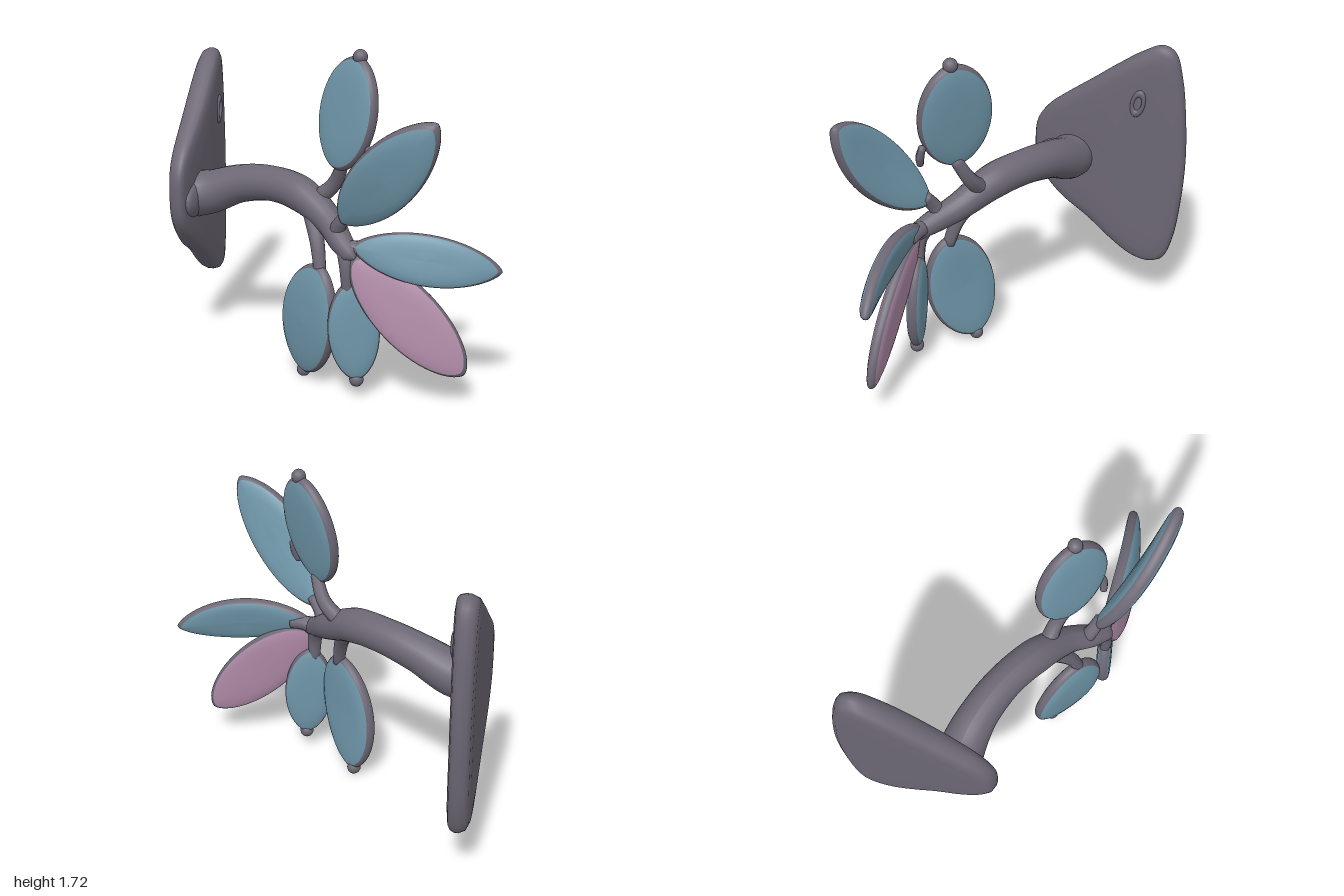
import * as THREE from 'three';

const V = (x, y, z) => new THREE.Vector3(x, y, z);

// Tube whose radius is interpolated along the path, with closed ends
function taperedTube(points, radii, segments = 40, sides = 20) {
  const curve = new THREE.CatmullRomCurve3(points.map(p => V(...p)));
  const geo = new THREE.TubeGeometry(curve, segments, 1, sides, false);
  const pos = geo.attributes.position;
  const v = V(0, 0, 0);
  for (let i = 0; i <= segments; i++) {
    const t = i / segments;
    const c = curve.getPointAt(t);
    const f = curve.getUtoTmapping(t) * (radii.length - 1);
    const k = Math.min(Math.floor(f), radii.length - 2);
    let r = THREE.MathUtils.lerp(radii[k], radii[k + 1], f - k);
    if (i === 0 || i === segments) r *= 0.05;
    for (let j = 0; j <= sides; j++) {
      const n = i * (sides + 1) + j;
      v.fromBufferAttribute(pos, n).sub(c).multiplyScalar(r).add(c);
      pos.setXYZ(n, v.x, v.y, v.z);
    }
  }
  geo.computeVertexNormals();
  return geo;
}

const lathe = (profile, segments) =>
  new THREE.LatheGeometry(profile.map(p => new THREE.Vector2(...p)), segments);

// Turned disc reshaped into a leaf: pointed ends, curved along its length
function leafPart(profile, leaf, matrix) {
  const geo = lathe(profile, 56);
  const pos = geo.attributes.position;
  for (let i = 0; i < pos.count; i++) {
    const x = pos.getX(i), z = pos.getZ(i);
    const r = Math.hypot(x, z);
    const s = r > 1e-6 ? Math.abs(z) / r : 0;
    pos.setXYZ(i,
      x * leaf.halfLength,
      pos.getY(i) * leaf.thick + leaf.bow * (1 - x * x),
      z * Math.pow(s, leaf.point) * leaf.halfWidth);
  }
  geo.computeVertexNormals();
  geo.applyMatrix4(matrix);
  return geo;
}

// Turned disc stretched to a closed outline, its front thinning toward both ends
function fanPlate(outline, profile, segments = 96) {
  const curve = new THREE.CatmullRomCurve3(outline.map(([u, y]) => V(u, y, 0)), true);
  const geo = lathe(profile, segments);
  const pos = geo.attributes.position;
  for (let i = 0; i <= segments; i++) {
    const edge = curve.getPoint((i % segments) / segments);
    profile.forEach(([r, n], j) => {
      const u = edge.x * r;
      const depth = n > 0 ? n * (1 - 3 * u * u) : n;
      pos.setXYZ(i * profile.length + j, u, 0.9 + (edge.y - 0.9) * r, depth);
    });
  }
  geo.computeVertexNormals();
  return geo;
}

export function createModel() {
  const model = new THREE.Group();
  const grey = new THREE.MeshStandardMaterial({ color: 0x6c6774 });
  const blue = new THREE.MeshStandardMaterial({ color: 0x6f96a9 });
  const pink = new THREE.MeshStandardMaterial({ color: 0xb18ca9 });
  grey.name = 'warm grey';
  blue.name = 'dusty blue';
  pink.name = 'dusty pink';

  const add = (name, geo, mat, parent = model) => {
    const mesh = new THREE.Mesh(geo, mat);
    mesh.name = name;
    parent.add(mesh);
    return mesh;
  };

  // Fan-shaped wall plate, turned about the vertical axis
  const plate = new THREE.Group();
  plate.name = 'wallPlate';
  plate.position.set(0.03, 0, -0.775);
  plate.rotation.y = Math.atan2(0.517, 0.857);
  model.add(plate);
  const outline = [
    [-0.44, 0.9], [-0.425, 0.77], [-0.365, 0.67], [-0.27, 0.58], [-0.13, 0.49], [0, 0.385],
    [0.13, 0.3], [0.23, 0.28], [0.295, 0.31], [0.34, 0.43], [0.37, 0.65], [0.382, 0.9],
    [0.37, 1.13], [0.34, 1.36], [0.295, 1.5], [0.23, 1.53], [0.13, 1.485], [0, 1.395],
    [-0.13, 1.295], [-0.27, 1.19], [-0.365, 1.11], [-0.425, 1.02],
  ];
  const section = [
    [0.0001, -0.064], [0.5, -0.063], [0.8, -0.061], [0.92, -0.056], [0.975, -0.04], [1, -0.01],
    [1, 0.015], [0.985, 0.042], [0.95, 0.058], [0.85, 0.067], [0.6, 0.07], [0.0001, 0.072],
  ];
  add('fan', fanPlate(outline, section), grey, plate);

  // Raised oval slot on the plate
  const slot = add('slot', new THREE.TorusGeometry(0.036, 0.013, 8, 24), grey, plate);
  slot.position.set(0.13, 1.22, 0.065);
  slot.rotation.z = -0.2;
  slot.scale.set(0.8, 1.6, 1);

  // Swelling on the plate where the stem takes root
  const root = add('stemRoot', new THREE.SphereGeometry(1, 28, 18), grey, plate);
  root.position.set(-0.26, 0.845, 0.035);
  root.scale.set(0.15, 0.1, 0.05);

  // Arched main stem, flared where it meets the plate
  add('stem', taperedTube([
    [-0.16, 0.85, -0.66], [-0.1, 0.87, -0.56], [-0.045, 0.935, -0.4], [-0.012, 0.97, -0.2],
    [-0.01, 0.955, 0], [-0.03, 0.87, 0.2], [-0.08, 0.8, 0.33], [-0.11, 0.75, 0.44],
  ], [0.125, 0.115, 0.098, 0.09, 0.09, 0.07, 0.058, 0.04]), grey);

  // Small twigs joining stem and leaves
  const twigs = [
    [[0, 0.94, 0.08], [0.03, 1.04, 0.18], [0.01, 1.18, 0.26]],
    [[-0.06, 0.82, 0.28], [-0.08, 0.88, 0.31], [-0.08, 0.97, 0.38]],
    [[-0.03, 0.9, 0.08], [-0.08, 0.76, 0.17], [-0.11, 0.6, 0.22]],
    [[-0.09, 0.79, 0.36], [-0.11, 0.7, 0.39], [-0.11, 0.56, 0.4]],
    [[-0.1, 0.78, 0.36], [-0.06, 0.79, 0.44], [-0.03, 0.78, 0.5]],
  ];
  for (const path of twigs) add('twig', taperedTube(path, [0.045, 0.037, 0.03], 14, 12), grey);
  add('spur', taperedTube([[0, 1.29, 0.43], [-0.02, 1.22, 0.435], [-0.04, 1.16, 0.42]], [0.018, 0.022, 0.016], 10, 10), grey);

  // Leaves: base, tip, face direction, half width, pointedness, bow
  const leaves = [
    { name: 'upperOvalLeaf', base: [0, 1.13, 0.22], tip: [0.065, 1.69, 0.31], face: [0.98, 0, 0.18], halfWidth: 0.195, point: 0.1, bow: 0, thick: 0.045, knob: true },
    { name: 'upperLongLeaf', base: [-0.09, 0.91, 0.34], tip: [-0.06, 1.49, 0.88], face: [0.92, 0.27, -0.29], halfWidth: 0.155, point: 0.35, bow: -0.035, thick: 0.048 },
    { name: 'frontLeaf', base: [-0.09, 0.8, 0.4], tip: [0.32, 0.71, 1], face: [-0.81, 0.23, 0.53], halfWidth: 0.125, point: 0.4, bow: 0.045, thick: 0.04 },
    { name: 'pinkLeaf', base: [-0.1, 0.75, 0.41], tip: [0.18, 0.19, 0.9], face: [-0.82, 0.19, 0.53], halfWidth: 0.155, point: 0.2, bow: 0.01, thick: 0.038, pink: true },
    { name: 'lowerOvalLeaf', base: [-0.11, 0.66, 0.22], tip: [-0.07, 0.045, 0.07], face: [0.99, 0, 0.14], halfWidth: 0.19, point: 0.1, bow: -0.02, thick: 0.045, knob: true },
    { name: 'lowerFrontLeaf', base: [-0.1, 0.63, 0.41], tip: [-0.085, 0.11, 0.44], face: [-0.74, 0, 0.67], halfWidth: 0.128, point: 0.15, bow: 0, thick: 0.04, knob: true },
  ];
  const rim = [[0.94, -0.58], [0.97, -0.45], [0.99, -0.25], [1, 0], [0.99, 0.25], [0.97, 0.45], [0.94, 0.58]];
  const top = [[0.94, 0.58], [0.84, 0.8], [0.65, 0.93], [0.4, 0.98], [0.0001, 1]];
  const bottom = top.map(([r, y]) => [r, -y]).reverse();

  for (const leaf of leaves) {
    const base = V(...leaf.base), tip = V(...leaf.tip);
    const axis = tip.clone().sub(base);
    leaf.halfLength = axis.length() / 2;
    axis.normalize();
    const side = axis.clone().cross(V(...leaf.face)).normalize();
    const normal = side.clone().cross(axis);
    const matrix = new THREE.Matrix4().makeBasis(axis, normal, side)
      .setPosition(base.clone().add(tip).multiplyScalar(0.5));
    const group = new THREE.Group();
    group.name = leaf.name;
    model.add(group);
    const mat = leaf.pink ? pink : blue;
    add('rim', leafPart(rim, leaf, matrix), grey, group);
    add('outerFace', leafPart(top, leaf, matrix), mat, group);
    add('innerFace', leafPart(bottom, leaf, matrix), mat, group);
    if (leaf.knob) {
      const knob = add('tipKnob', new THREE.SphereGeometry(0.036, 14, 10), grey, group);
      knob.position.copy(tip);
    }
  }
  return model;
}
